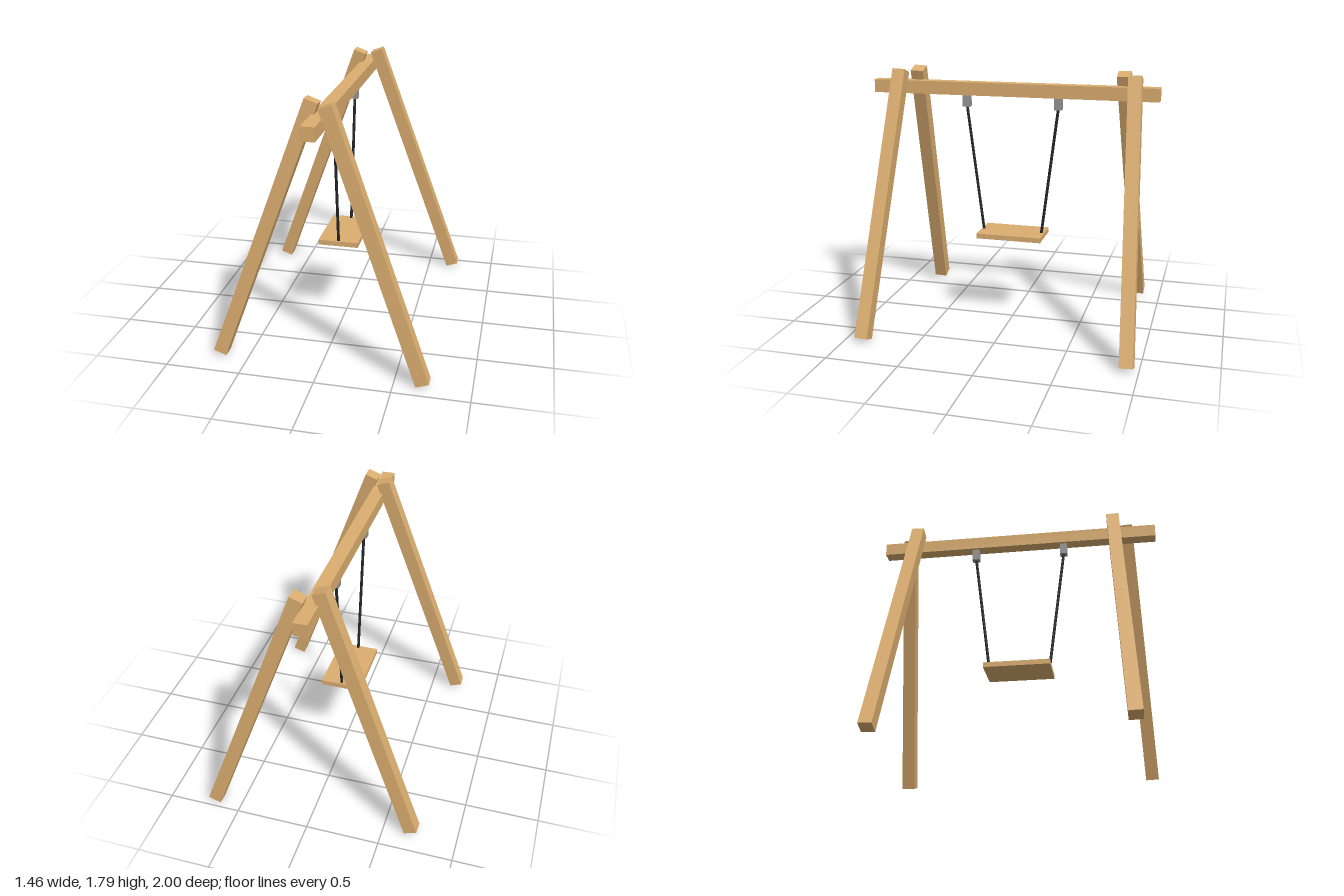
import * as THREE from 'three';

const mat = (name, color) => {
  const m = new THREE.MeshStandardMaterial({ color });
  m.name = name;
  return m;
};

export function createModel() {
  const group = new THREE.Group();
  group.name = 'swingFrame';
  const wood = mat('wood', 0xdcae70);
  const metal = mat('grey metal', 0x969696);
  const rope = mat('dark rope', 0x24272a);

  const box = (name, material, size, pos) => {
    const mesh = new THREE.Mesh(new THREE.BoxGeometry(...size), material);
    mesh.name = name;
    mesh.position.set(...pos);
    group.add(mesh);
  };

  // Places a part between two points, keeping its local z close to world z
  const between = (name, material, makeGeometry, a, b) => {
    const p = new THREE.Vector3(...a), q = new THREE.Vector3(...b);
    const y = q.clone().sub(p);
    const mesh = new THREE.Mesh(makeGeometry(y.length()), material);
    y.normalize();
    const x = y.clone().cross(new THREE.Vector3(0, 0, 1)).normalize();
    const z = x.clone().cross(y);
    mesh.quaternion.setFromRotationMatrix(new THREE.Matrix4().makeBasis(x, y, z));
    mesh.position.copy(p).add(q).multiplyScalar(0.5);
    mesh.name = name;
    group.add(mesh);
  };

  // Top beam and seat
  const cx = -0.012;
  box('topBeam', wood, [0.09, 0.09, 2], [cx, 1.653, 0]);
  box('seat', wood, [0.278, 0.035, 0.46], [cx, 0.628, 0.002]);

  // Splayed legs: the left pair stands slightly further out than the right pair
  const legShape = (length) => new THREE.BoxGeometry(0.09, length, 0.09);
  for (const [name, zTop, zFoot] of [['leftFrontLeg', 0.792, 0.875], ['leftBackLeg', -0.84, -0.922]])
    between(name, wood, legShape, [0.687, 0.017, zFoot], [0.051, 1.77, zTop]);
  for (const [name, zTop, zFoot] of [['rightFrontLeg', 0.7, 0.782], ['rightBackLeg', -0.752, -0.834]])
    between(name, wood, legShape, [-0.69, 0.026, zFoot], [-0.057, 1.777, zTop]);

  // Hangers under the beam and the ropes down to the seat
  const ropeShape = (length) => new THREE.CylinderGeometry(0.01, 0.01, length, 8);
  for (const [side, zTop, zSeat] of [['front', 0.332, 0.215], ['back', -0.318, -0.206]]) {
    box(side + 'Hanger', metal, [0.052, 0.085, 0.052], [cx, 1.568, zTop]);
    between(side + 'Rope', rope, ropeShape, [cx, 0.64, zSeat], [cx, 1.54, zTop]);
  }

  return group;
}
